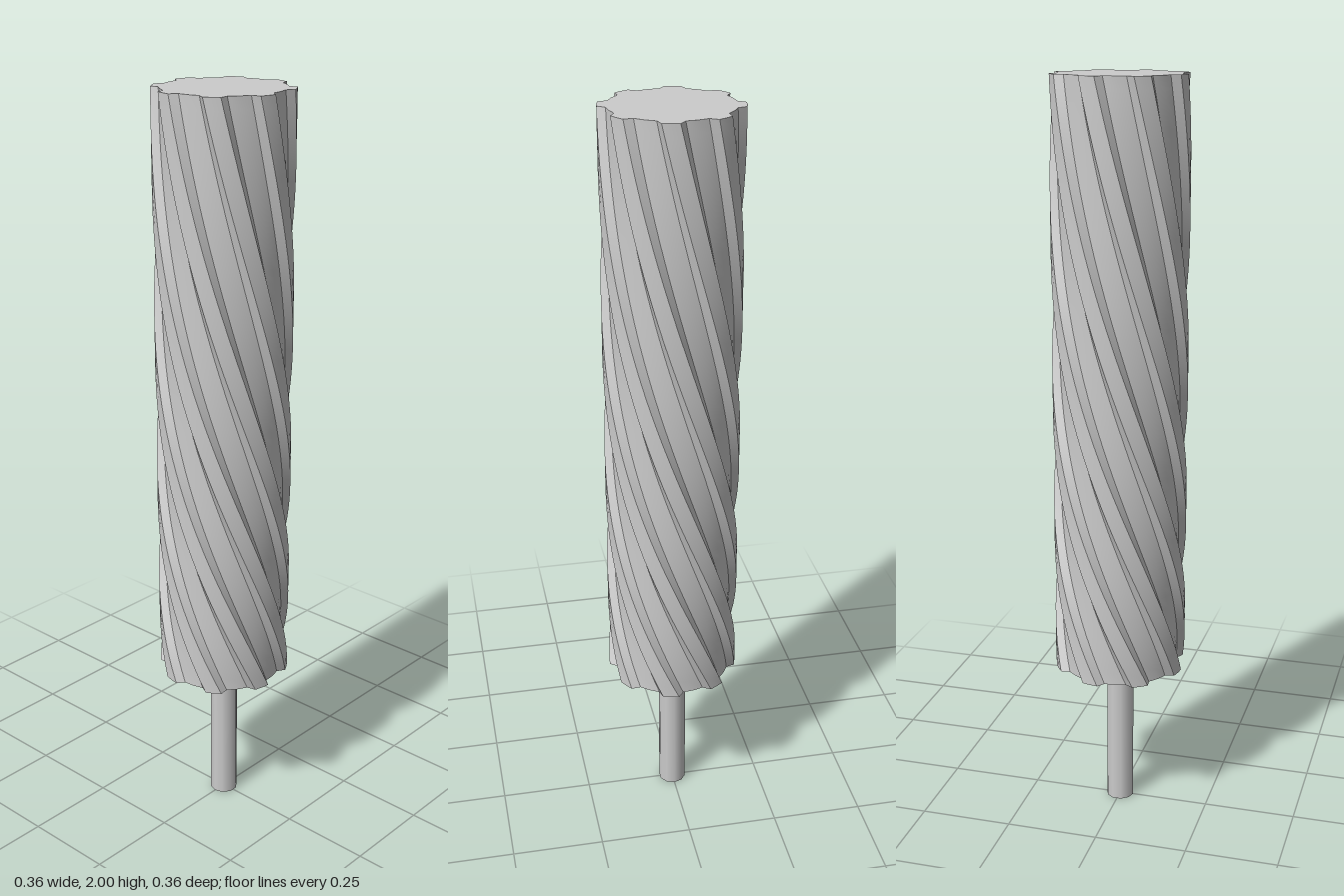
import * as THREE from 'three';
import { toCreasedNormals } from 'three/addons/utils/BufferGeometryUtils.js';

const RIDGES = 8, OUTER = 0.178, INNER = 0.158;
const BOTTOM = 0.415, TOP = 2;

// Cross-section: eight narrow raised ridges with shallow valleys between them
function fluteShape() {
  const ridge = [[-12, INNER], [-7, OUTER], [0, OUTER], [7, OUTER], [12, INNER], [22.5, INNER]];
  const points = [];
  for (let i = 0; i < RIDGES; i++) {
    for (const [offset, r] of ridge) {
      const a = THREE.MathUtils.degToRad(33 + i * 360 / RIDGES + offset);
      points.push(new THREE.Vector2(r * Math.sin(a), -r * Math.cos(a)));
    }
  }
  return new THREE.Shape(points);
}

// Extrude upward, then turn each level; the spiral tightens toward the bottom
function flutedBody() {
  const height = TOP - BOTTOM;
  const geometry = new THREE.ExtrudeGeometry(fluteShape(), { depth: height, steps: 48, bevelEnabled: false });
  geometry.rotateX(-Math.PI / 2);
  const pos = geometry.attributes.position;
  const v = new THREE.Vector3(), up = new THREE.Vector3(0, 1, 0);
  for (let i = 0; i < pos.count; i++) {
    v.fromBufferAttribute(pos, i);
    const u = 1 - v.y / height;
    v.applyAxisAngle(up, Math.PI * (0.65 * u + 0.35 * u * u));
    pos.setXYZ(i, v.x, v.y + BOTTOM, v.z);
  }
  return toCreasedNormals(geometry, 0.6);
}

export function createModel() {
  const group = new THREE.Group();
  const material = new THREE.MeshStandardMaterial({ color: 0xcccccc });

  const body = new THREE.Mesh(flutedBody(), material);
  body.name = 'twistedFlutedBody';

  // Thin rod carrying the body
  const rod = new THREE.Mesh(new THREE.CylinderGeometry(0.038, 0.038, BOTTOM + 0.01, 10), material);
  rod.name = 'shaft';
  rod.position.y = (BOTTOM + 0.01) / 2;

  group.add(body, rod);
  return group;
}
